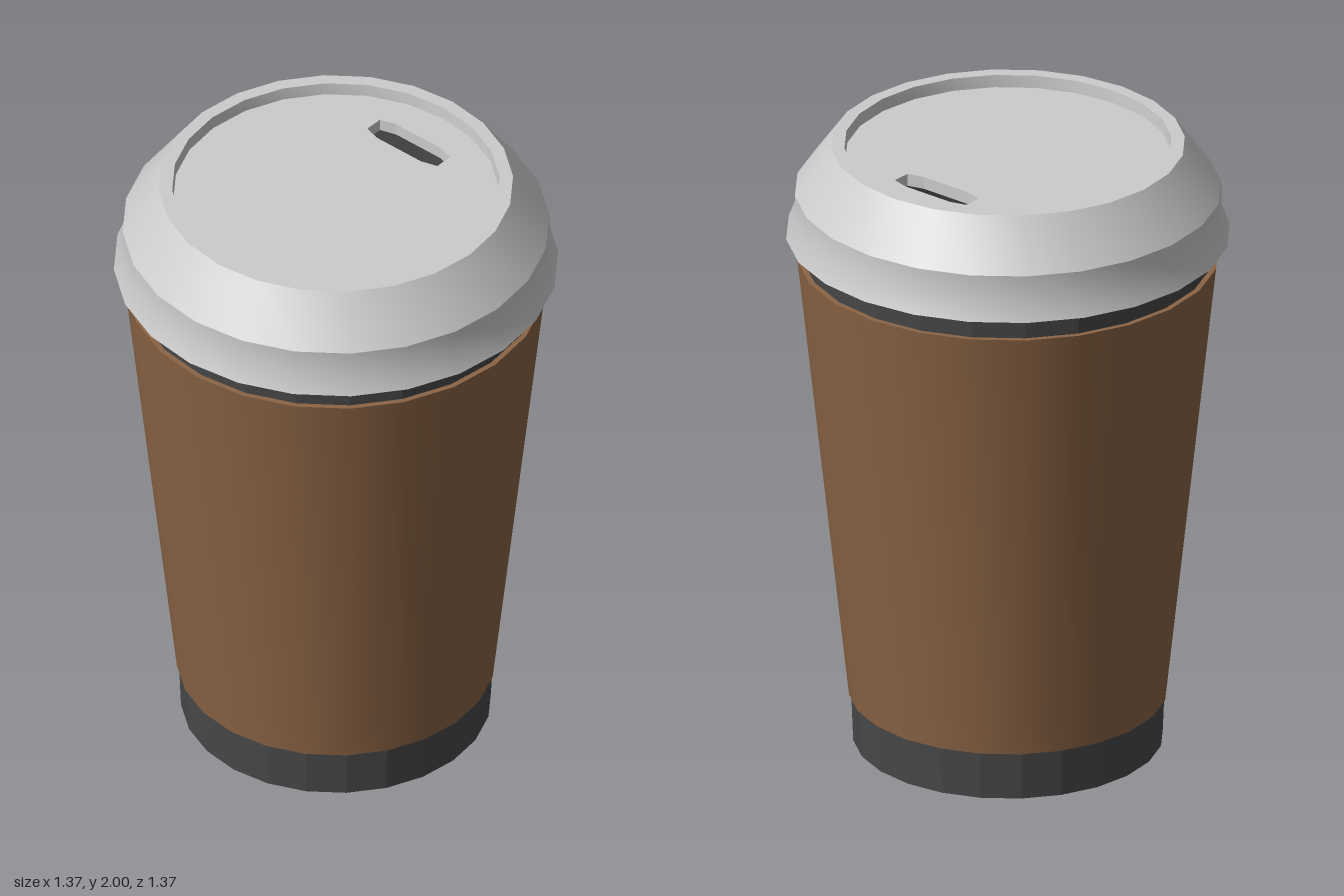
import * as THREE from 'three';
import { toCreasedNormals } from 'three/addons/utils/BufferGeometryUtils.js';

const SIDES = 24;
const CREASE = 0.45;

// Revolve a [radius, height] profile around the y axis
function revolve(profile) {
  return new THREE.LatheGeometry(profile.map(([r, y]) => new THREE.Vector2(r, y)), SIDES);
}

function addMesh(group, name, geometry, material) {
  const mesh = new THREE.Mesh(geometry, material);
  mesh.name = name;
  group.add(mesh);
}

export function createModel() {
  const model = new THREE.Group();
  model.name = 'takeawayCup';

  const cupMaterial = new THREE.MeshStandardMaterial({ color: 0x484848, flatShading: true });
  const sleeveMaterial = new THREE.MeshStandardMaterial({ color: 0x8b6445 });
  const lidMaterial = new THREE.MeshStandardMaterial({ color: 0xcccccc });

  // Hollow cup: base, outer wall, lip, inner wall, inner floor
  addMesh(model, 'cup', revolve([
    [0, 0], [0.478, 0], [0.484, 0.155], [0.633, 1.625], [0.645, 1.8],
    [0.625, 1.8], [0.465, 0.03], [0, 0.03],
  ]), cupMaterial);

  // Cardboard sleeve
  addMesh(model, 'sleeve', toCreasedNormals(revolve([
    [0.484, 0.155], [0.491, 0.155], [0.65, 1.625], [0.632, 1.625],
  ]), CREASE), sleeveMaterial);

  // Lid shell: inner side, flared skirt, sloped shoulder, raised rim
  const lid = new THREE.Group();
  lid.name = 'lid';
  model.add(lid);
  addMesh(lid, 'lidShell', toCreasedNormals(revolve([
    [0.5, 1.92], [0.56, 1.92], [0.648, 1.82], [0.648, 1.7],
    [0.685, 1.7], [0.66, 1.765], [0.658, 1.845], [0.546, 2],
    [0.505, 2], [0.502, 1.96],
  ]), CREASE), lidMaterial);

  // Recessed lid top with an eight-sided drinking slot
  const plate = new THREE.Shape();
  for (let i = 0; i < SIDES; i++) {
    const a = (i / SIDES) * Math.PI * 2;
    plate[i ? 'lineTo' : 'moveTo'](0.502 * Math.cos(a), 0.502 * Math.sin(a));
  }
  plate.closePath();
  const slot = [
    [0.045, 0.09], [0.03, 0.143], [-0.03, 0.143], [-0.045, 0.09],
    [-0.045, -0.09], [-0.03, -0.143], [0.03, -0.143], [0.045, -0.09],
  ].map(([x, y]) => new THREE.Vector2(x + 0.34, y));
  plate.holes.push(new THREE.Path(slot));
  const plateGeometry = new THREE.ExtrudeGeometry(plate, { depth: 0.04, bevelEnabled: false });
  plateGeometry.rotateX(-Math.PI / 2).translate(0, 1.92, 0);
  addMesh(lid, 'lidTop', plateGeometry, lidMaterial);

  return model;
}
